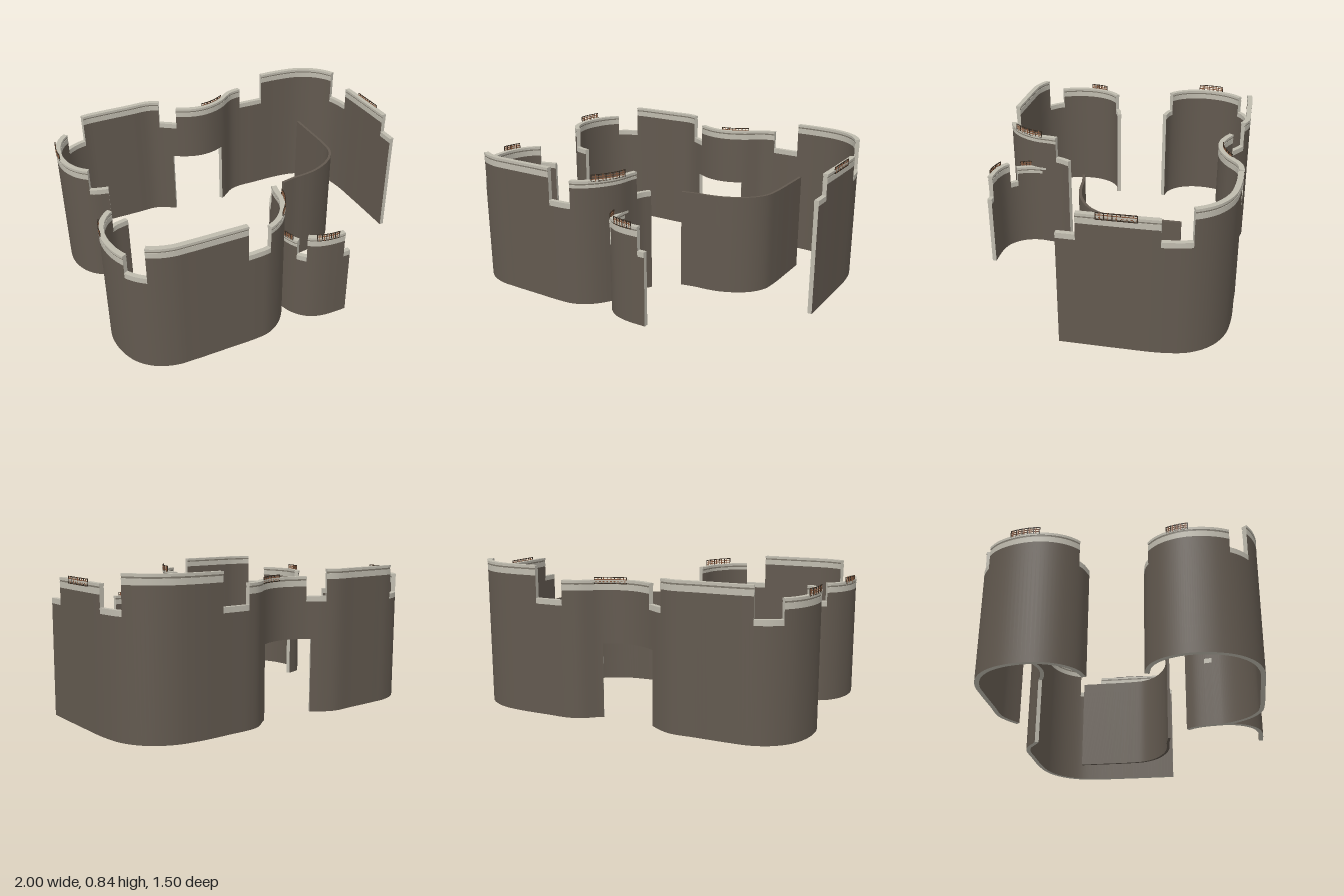
import * as THREE from 'three';

const mat = (name, color) => Object.assign(new THREE.MeshStandardMaterial({ color }), { name });
const stone = mat('brown stone skin', 0x62594f);
const cream = mat('cream stone', 0xbfbbae);
const joint = mat('grey joint', 0x7f796d);
const rust = mat('rust rail', 0x84573c);
const iron = mat('dark iron', 0x33291f);

// Evenly spaced plan points along a smooth line, each with its sideways normal
function makePath(points) {
  const curve = new THREE.CatmullRomCurve3(points.map(([x, z]) => new THREE.Vector3(x, 0, z)));
  curve.arcLengthDivisions = 600;
  const N = 320;
  return Array.from({ length: N + 1 }, (_, i) => {
    const p = curve.getPointAt(i / N), t = curve.getTangentAt(i / N);
    return { x: p.x, z: p.z, nx: t.z, nz: -t.x };
  });
}

function nearest(path, [x, z]) {
  let best = 0, d = Infinity;
  path.forEach((p, i) => {
    const e = Math.hypot(p.x - x, p.z - z);
    if (e < d) { d = e; best = i; }
  });
  return best;
}

// Upright curved slab following the path from index i0 to i1
function slab(name, path, i0, i1, y0, y1, half, materials, shift = 0) {
  const skin = { p: [], n: [] }, core = { p: [], n: [] };
  const pt = (i, s, y) => {
    const q = path[i], o = shift + s * half;
    return [q.x + q.nx * o, y, q.z + q.nz * o];
  };
  const quad = (set, c, ns) => {
    for (const k of [0, 1, 2, 0, 2, 3]) { set.p.push(...c[k]); set.n.push(...ns[k]); }
  };
  const side = (i, s) => [path[i].nx * s, 0, path[i].nz * s];
  const same = (v) => [v, v, v, v];
  const step = 2;
  for (let i = i0; i < i1; i += step) {
    const j = Math.min(i + step, i1);
    quad(skin, [pt(i, 1, y0), pt(i, 1, y1), pt(j, 1, y1), pt(j, 1, y0)], [side(i, 1), side(i, 1), side(j, 1), side(j, 1)]);
    quad(skin, [pt(i, -1, y0), pt(j, -1, y0), pt(j, -1, y1), pt(i, -1, y1)], [side(i, -1), side(j, -1), side(j, -1), side(i, -1)]);
    quad(core, [pt(i, -1, y1), pt(j, -1, y1), pt(j, 1, y1), pt(i, 1, y1)], same([0, 1, 0]));
    quad(core, [pt(i, 1, y0), pt(j, 1, y0), pt(j, -1, y0), pt(i, -1, y0)], same([0, -1, 0]));
  }
  const a = path[i0], b = path[i1];
  quad(core, [pt(i0, 1, y0), pt(i0, -1, y0), pt(i0, -1, y1), pt(i0, 1, y1)], same([a.nz, 0, -a.nx]));
  quad(core, [pt(i1, -1, y0), pt(i1, 1, y0), pt(i1, 1, y1), pt(i1, -1, y1)], same([-b.nz, 0, b.nx]));
  const g = new THREE.BufferGeometry();
  g.setAttribute('position', new THREE.Float32BufferAttribute([...skin.p, ...core.p], 3));
  g.setAttribute('normal', new THREE.Float32BufferAttribute([...skin.n, ...core.n], 3));
  g.addGroup(0, skin.p.length / 3, 0);
  g.addGroup(skin.p.length / 3, core.p.length / 3, 1);
  const mesh = new THREE.Mesh(g, materials);
  mesh.name = name;
  return mesh;
}

// Wall cut into stepped stretches: { to, top, low } with low = plain single coping
function wall(name, path, stretches, door) {
  const group = new THREE.Group(), H = 0.0125;
  group.name = name;
  let from = 0;
  for (const { to, top, low, tall = 0.055 } of stretches) {
    const end = to ? nearest(path, to) : path.length - 1;
    const band = low ? 0.03 : tall;
    const cuts = [from, end];
    if (door) for (const d of [door.from, door.to]) if (d > from && d < end) cuts.push(d);
    cuts.sort((p, q) => p - q);
    for (let k = 0; k + 1 < cuts.length; k++) {
      const open = door && cuts[k] >= door.from && cuts[k + 1] <= door.to;
      group.add(slab('wallBody', path, cuts[k], cuts[k + 1], open ? door.height : 0, top - band, H, [stone, cream]));
    }
    if (low) {
      group.add(slab('lowCoping', path, from, end, top - band, top, H + 0.001, [cream, cream]));
    } else {
      group.add(slab('lowerBand', path, from, end, top - band, top - 0.023, H + 0.001, [cream, cream]));
      group.add(slab('bandJoint', path, from, end, top - 0.023, top - 0.014, H - 0.001, [joint, cream]));
      group.add(slab('coping', path, from, end, top - 0.014, top, H + 0.0025, [cream, cream]));
    }
    from = end;
  }
  return group;
}

// Lattice railing standing on the outer face
function railing(path, a, b, y0, y1, outward) {
  const group = new THREE.Group();
  group.name = 'railing';
  const [i0, i1] = [nearest(path, a), nearest(path, b)].sort((p, q) => p - q);
  const shift = outward * 0.013, bars = 3;
  for (let k = 0; k <= bars; k++) {
    const y = y0 + (y1 - y0 - 0.004) * k / bars, m = k % 3 ? rust : iron;
    group.add(slab('railBar', path, i0, i1, y, y + 0.004, 0.002, [m, m], shift));
  }
  const posts = 10;
  for (let k = 0; k <= posts; k++) {
    const q = path[Math.round(i0 + (i1 - i0) * k / posts)];
    const post = new THREE.Mesh(new THREE.BoxGeometry(0.004, y1 - y0, 0.004), k % 2 ? rust : iron);
    post.position.set(q.x + q.nx * shift, (y0 + y1) / 2, q.z + q.nz * shift);
    post.rotation.y = Math.atan2(q.nx, q.nz);
    post.name = 'railPost';
    group.add(post);
  }
  return group;
}

export function createModel() {
  const model = new THREE.Group();
  model.name = 'curvedWalls';

  // Long back wall: hooked end, straight, inward bow, straight, right side
  const hook = [[-0.785, -0.165], [-0.87, -0.19], [-0.935, -0.25], [-0.975, -0.34], [-0.984, -0.43],
    [-0.965, -0.54], [-0.92, -0.63], [-0.84, -0.7], [-0.74, -0.735], [-0.65, -0.74]];
  const bow = [[-0.32, -0.74], [-0.25, -0.712], [-0.15, -0.648], [-0.07, -0.613], [0, -0.603],
    [0.07, -0.613], [0.15, -0.648], [0.25, -0.722], [0.32, -0.74]];
  const back = makePath([...hook, [-0.45, -0.74], ...bow, [0.45, -0.74], [0.63, -0.738], [0.77, -0.715],
    [0.88, -0.65], [0.95, -0.55], [0.978, -0.42], [0.984, -0.2], [0.984, 0.13]]);
  model.add(wall('backWall', back, [
    { to: [-0.88, -0.195], top: 0.62, low: true },
    { to: [-0.89, -0.665], top: 0.745 },
    { to: [-0.76, -0.73], top: 0.64, low: true },
    { to: [-0.26, -0.718], top: 0.81 },
    { to: [-0.16, -0.655], top: 0.66, low: true },
    { to: [0.33, -0.74], top: 0.77 },
    { to: [0.5, -0.74], top: 0.66, low: true },
    { to: [0.955, -0.55], top: 0.84 },
    { to: [0.98, -0.4], top: 0.66, low: true },
    { to: [0.984, 0.03], top: 0.78 },
    { top: 0.66, low: true },
  ], { from: nearest(back, [-0.19, -0.675]), to: nearest(back, [0.14, -0.64]), height: 0.42 }));
  model.add(railing(back, [-0.965, -0.54], [-0.98, -0.38], 0.74, 0.78, 1));
  model.add(railing(back, [0, -0.603], [0.18, -0.67], 0.748, 0.786, 1));
  model.add(railing(back, [0.984, -0.28], [0.984, -0.08], 0.755, 0.795, 1));

  // Front wall: mirrored hook, straight run, inward sweep
  const front = makePath([...hook.map(([x, z]) => [x, -z - 0.012]), [-0.45, 0.73], [-0.28, 0.73],
    [-0.2, 0.72], [-0.12, 0.675], [-0.06, 0.605], [-0.02, 0.52], [-0.005, 0.42], [0.012, 0.355], [0.042, 0.3]]);
  model.add(wall('frontWall', front, [
    { to: [-0.88, 0.185], top: 0.6, low: true },
    { to: [-0.94, 0.59], top: 0.705 },
    { to: [-0.86, 0.68], top: 0.6, low: true },
    { to: [-0.33, 0.73], top: 0.785 },
    { to: [-0.2, 0.72], top: 0.6, low: true },
    { to: [0, 0.39], top: 0.73, tall: 0.04 },
    { top: 0.6, low: true },
  ]));
  model.add(railing(front, [-0.968, 0.28], [-0.982, 0.39], 0.695, 0.735, -1));
  model.add(railing(front, [-0.1, 0.655], [-0.012, 0.48], 0.724, 0.765, -1));

  // Short lower wall branching off the front sweep
  const branch = makePath([[-0.006, 0.415], [-0.014, 0.48], [-0.012, 0.55], [0.005, 0.61], [0.04, 0.665],
    [0.09, 0.705], [0.15, 0.725], [0.21, 0.731], [0.3, 0.731]]);
  model.add(wall('branchWall', branch, [
    { to: [-0.013, 0.46], top: 0.427, low: true },
    { to: [0.022, 0.645], top: 0.52, tall: 0.04 },
    { to: [0.06, 0.685], top: 0.427, low: true },
    { to: [0.26, 0.731], top: 0.56 },
    { top: 0.427, low: true },
  ]));
  model.add(railing(branch, [-0.012, 0.54], [0.01, 0.62], 0.515, 0.55, -1));
  model.add(railing(branch, [0.1, 0.71], [0.22, 0.731], 0.54, 0.583, -1));

  // Plain inner screen
  const inner = makePath([[0.64, -0.455], [0.64, -0.3], [0.638, -0.13], [0.625, -0.03], [0.58, 0.045],
    [0.51, 0.1], [0.42, 0.14], [0.34, 0.155], [0.27, 0.16], [0.18, 0.177]]);
  model.add(slab('innerScreen', inner, 0, inner.length - 1, 0, 0.585, 0.008, [stone, stone]));
  return model;
}
